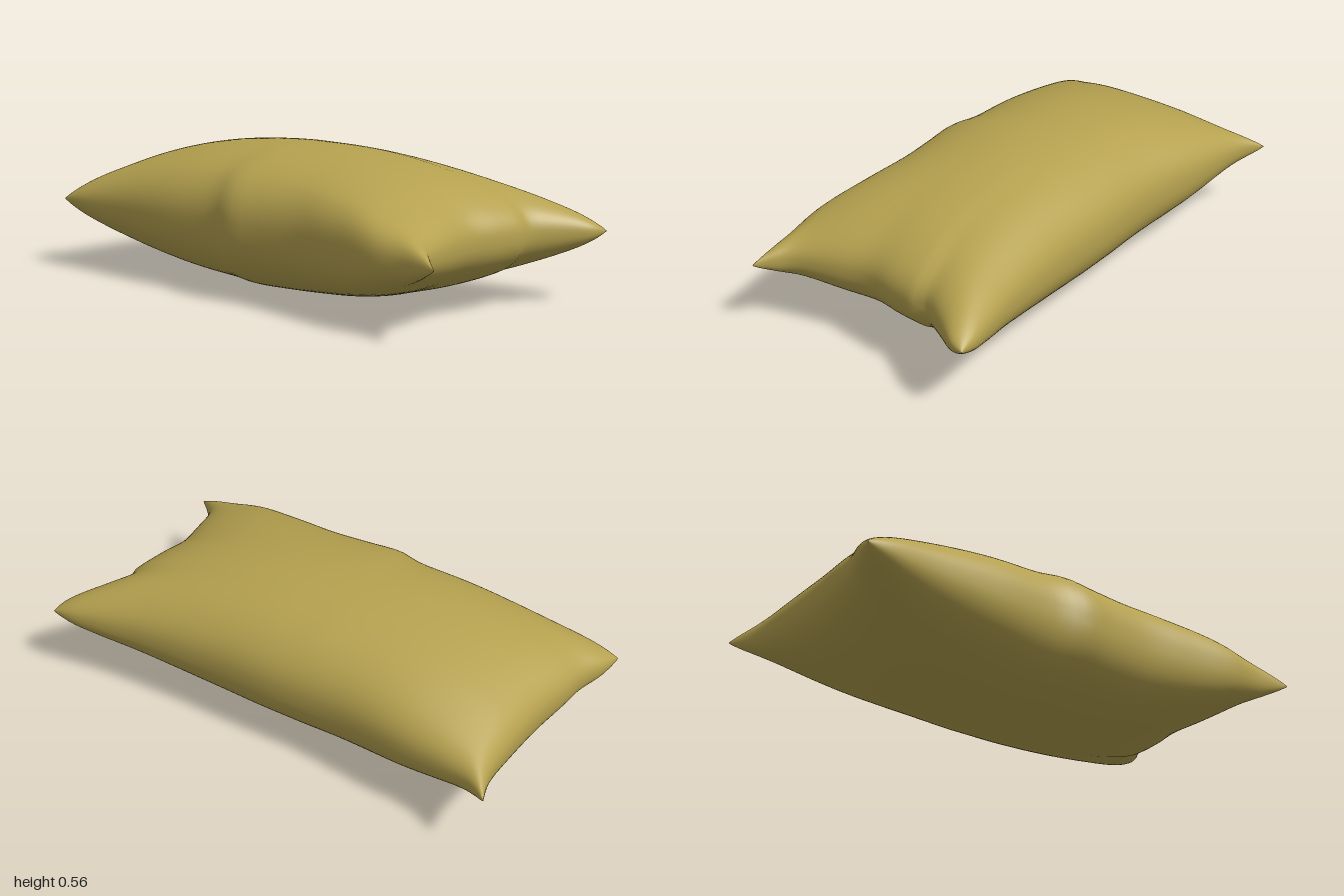
import * as THREE from 'three';
import { mergeVertices } from 'three/addons/utils/BufferGeometryUtils.js';

// Smooth seam line through plan points [x, z]
const seam = (points) => new THREE.SplineCurve(points.map(([x, z]) => new THREE.Vector2(x, z)));

const BACK_LEFT = [0.985, -0.51], BACK_RIGHT = [-1, -0.5];
const FRONT_LEFT = [1, 0.47], FRONT_RIGHT = [-1, 0.5];

// The four seams, slightly wavy and drawn in between the corners
const back = seam([BACK_RIGHT, [-0.87, -0.45], [-0.6, -0.435], [-0.3, -0.415], [0, -0.425],
  [0.3, -0.432], [0.6, -0.457], [0.8, -0.492], [0.9, -0.51], BACK_LEFT]);
const front = seam([FRONT_RIGHT, [-0.9, 0.505], [-0.7, 0.492], [-0.4, 0.482], [-0.15, 0.465], [-0.02, 0.488],
  [0.12, 0.468], [0.3, 0.452], [0.5, 0.465], [0.7, 0.483], [0.85, 0.468], FRONT_LEFT]);
const right = seam([BACK_RIGHT, [-0.96, -0.39], [-0.942, -0.25], [-0.935, 0], [-0.95, 0.2],
  [-0.958, 0.3], [-0.99, 0.41], FRONT_RIGHT]);
const left = seam([BACK_LEFT, [0.97, -0.44], [0.9, -0.33], [0.845, -0.23], [0.855, -0.18], [0.84, -0.06],
  [0.82, 0.07], [0.845, 0.2], [0.89, 0.36], [0.95, 0.43], FRONT_LEFT]);

const HALF_HEIGHT = 0.28;
const COLS = 72, ROWS = 48;

// Even steps turned into steps that crowd together near the seams
const ease = (i, n) => Math.sin((i / n - 0.5) * Math.PI);

// Fills the outline with a grid and puffs it up (side = 1) or down (side = -1)
function addSheet(positions, indices, side) {
  const base = positions.length / 3;
  const corner = (p) => new THREE.Vector2(p[0], p[1]);
  for (let j = 0; j <= ROWS; j++) {
    const v = ease(j, ROWS), t = (v + 1) / 2;
    const a = right.getPointAt(t), b = left.getPointAt(t);
    for (let i = 0; i <= COLS; i++) {
      const u = ease(i, COLS), s = (u + 1) / 2;
      const c = back.getPointAt(s), d = front.getPointAt(s);
      const p = new THREE.Vector2()
        .addScaledVector(a, 1 - s).addScaledVector(b, s)
        .addScaledVector(c, 1 - t).addScaledVector(d, t)
        .addScaledVector(corner(BACK_RIGHT), -(1 - s) * (1 - t))
        .addScaledVector(corner(BACK_LEFT), -s * (1 - t))
        .addScaledVector(corner(FRONT_RIGHT), -(1 - s) * t)
        .addScaledVector(corner(FRONT_LEFT), -s * t);
      const onSeam = i === 0 || j === 0 || i === COLS || j === ROWS;
      const puff = onSeam ? 0 : Math.pow((1 - u * u) * (1 - v * v), 0.43);
      positions.push(p.x, HALF_HEIGHT * (1 + side * puff), p.y);
    }
  }
  for (let j = 0; j < ROWS; j++) {
    for (let i = 0; i < COLS; i++) {
      const k = base + j * (COLS + 1) + i, m = k + COLS + 1;
      if (side > 0) indices.push(k, m, k + 1, k + 1, m, m + 1);
      else indices.push(k, k + 1, m, k + 1, m + 1, m);
    }
  }
}

export function createModel() {
  const fabric = new THREE.MeshStandardMaterial({ color: 0xb5a14f });
  fabric.name = 'ochre fabric';

  // Upper and lower sheets, joined along the seam
  const positions = [], indices = [];
  addSheet(positions, indices, 1);
  addSheet(positions, indices, -1);
  let geometry = new THREE.BufferGeometry();
  geometry.setAttribute('position', new THREE.Float32BufferAttribute(positions, 3));
  geometry.setIndex(indices);
  geometry = mergeVertices(geometry, 1e-5);
  geometry.computeVertexNormals();

  const cushion = new THREE.Mesh(geometry, fabric);
  cushion.name = 'cushion';
  const model = new THREE.Group();
  model.name = 'pillow';
  model.add(cushion);
  return model;
}
